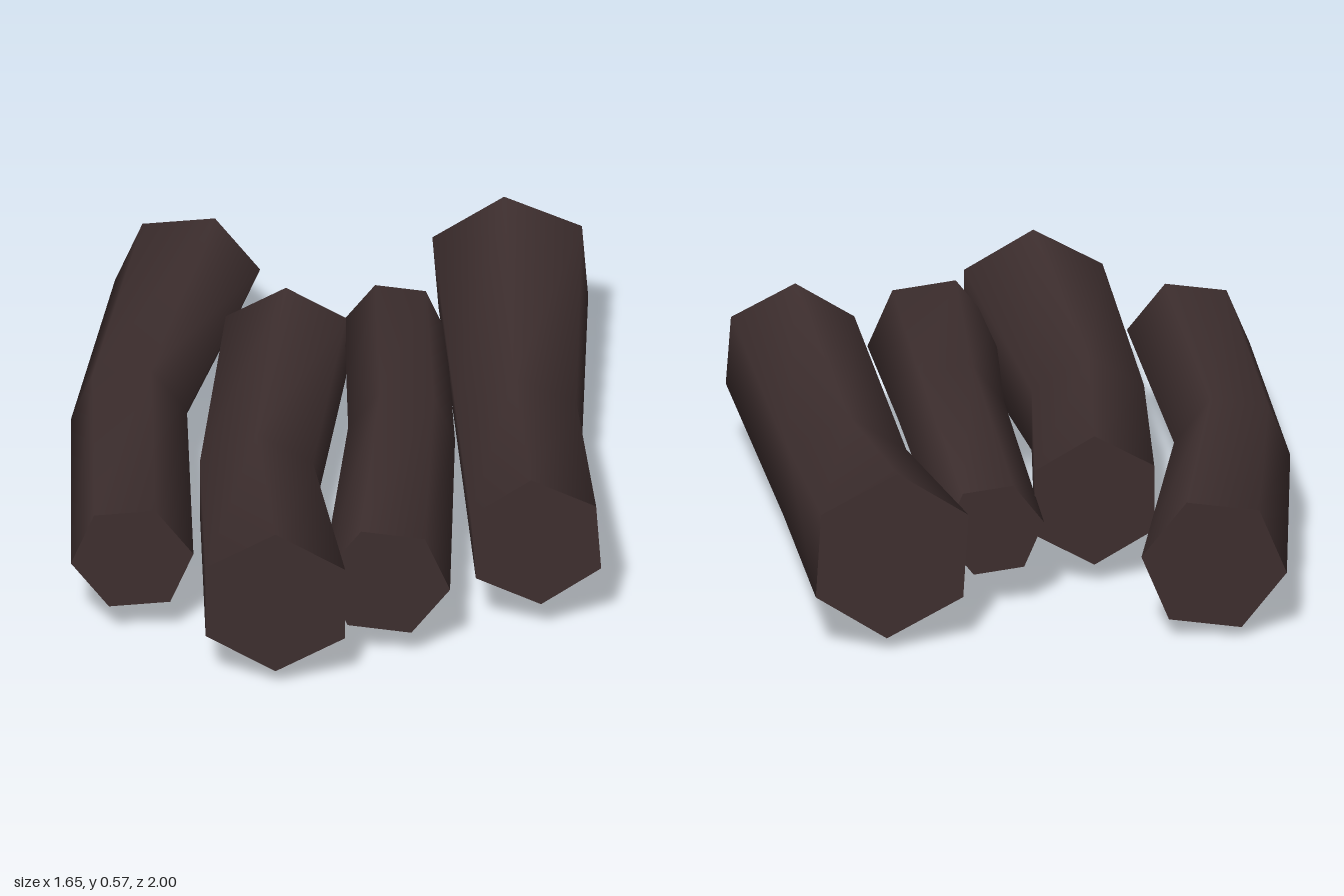
import * as THREE from 'three';
import { mergeVertices } from 'three/addons/utils/BufferGeometryUtils.js';

// Each ring: centre x, y, z, radius, then how far z leans per unit of x and y
const LOGS = [
  { name: 'outerRightLog', twist: -22, rings: [
    [-0.49, 0.25, -0.985, 0.225, 0.056, 0],
    [-0.645, 0.275, -0.13, 0.18, 0.05, 0],
    [-0.61, 0.295, 0.73, 0.19, 0.053, 0]] },
  { name: 'innerRightLog', twist: 0, rings: [
    [-0.175, 0.287, -0.52, 0.213, 0, 0],
    [-0.243, 0.245, 0.24, 0.2, 0, 0],
    [-0.163, 0.312, 1, 0.247, 0, 0]] },
  { name: 'innerLeftLog', twist: 23, rings: [
    [0.155, 0.27, -0.68, 0.157, 0, 0],
    [0.197, 0.355, 0.08, 0.165, 0, 0],
    [0.172, 0.29, 0.835, 0.197, 0, 0]] },
  { name: 'outerLeftLog', twist: 4, rings: [
    [0.5, 0.315, -0.957, 0.265, -0.064, 0.066],
    [0.55, 0.222, -0.13, 0.213, -0.064, 0.02],
    [0.626, 0.336, 0.665, 0.222, -0.064, -0.02]] },
];

// Six-sided bent log: a three-ring cylinder whose rings are moved into place
function makeLog({ name, twist, rings }, material) {
  let geo = new THREE.CylinderGeometry(1, 1, 2, 6, 2);
  geo.deleteAttribute('uv');
  geo = mergeVertices(geo); // closes the seam so the bark stays smooth
  geo.rotateX(Math.PI / 2);
  geo.rotateZ(THREE.MathUtils.degToRad(twist));
  const pos = geo.attributes.position;
  for (let i = 0; i < pos.count; i++) {
    const [cx, cy, cz, r, leanX, leanY] = rings[Math.round(pos.getZ(i)) + 1];
    const dx = pos.getX(i) * r;
    const dy = pos.getY(i) * r;
    pos.setXYZ(i, cx + dx, cy + dy, cz + dx * leanX + dy * leanY);
  }
  geo.clearGroups();
  geo.computeVertexNormals();
  const mesh = new THREE.Mesh(geo, material);
  mesh.name = name;
  return mesh;
}

export function createModel() {
  const group = new THREE.Group();
  group.name = 'logs';
  const bark = new THREE.MeshStandardMaterial({ color: 0x3d2e2e });
  bark.name = 'dark bark';
  for (const log of LOGS) group.add(makeLog(log, bark));
  return group;
}
